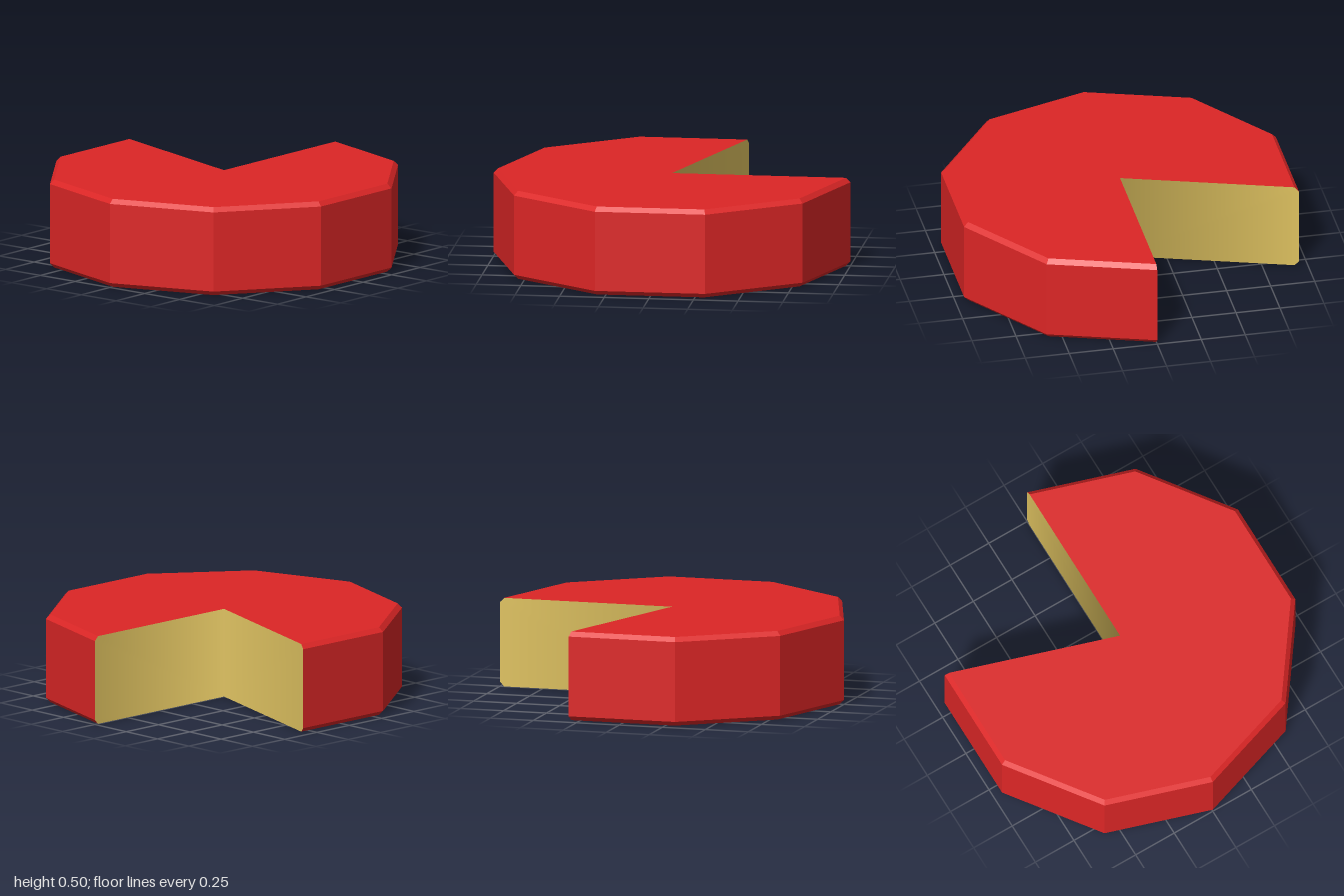
import * as THREE from 'three';

const rad = THREE.MathUtils.degToRad;

// half cross-section of the wheel, bottom axis to top axis, with small bevels
const profile = [[0, 0], [0.975, 0], [1, 0.025], [1, 0.475], [0.975, 0.5], [0, 0.5]];
const cutStart = 90, cutEnd = 162; // open wedge, degrees from +z towards +x

// ten-sided rind with two sides missing, faceted normals
function rindGeometry() {
  const points = profile.map(([r, y]) => new THREE.Vector2(r, y));
  const lathe = new THREE.LatheGeometry(points, 8, rad(cutEnd - 360), rad(360 - cutEnd + cutStart));
  const geometry = lathe.toNonIndexed();
  geometry.computeVertexNormals();
  return geometry;
}

// both cut walls, sharing the axis edge so shading runs smoothly across it
function cutGeometry() {
  const outer = profile.slice(1, -1);
  const positions = [0, 0, 0, 0, 0.5, 0];
  const index = [];
  [cutStart, cutEnd].forEach((angle, side) => {
    const first = positions.length / 3;
    for (const [r, y] of outer) {
      positions.push(r * Math.sin(rad(angle)), y, r * Math.cos(rad(angle)));
    }
    const rim = [...outer.map((_, i) => first + i), 1];
    for (let i = 0; i < rim.length - 1; i++) {
      if (side === 0) index.push(0, rim[i + 1], rim[i]);
      else index.push(0, rim[i], rim[i + 1]);
    }
  });
  const geometry = new THREE.BufferGeometry();
  geometry.setAttribute('position', new THREE.Float32BufferAttribute(positions, 3));
  geometry.setIndex(index);
  geometry.computeVertexNormals();
  return geometry;
}

export function createModel() {
  const red = new THREE.MeshStandardMaterial({ color: 0xdd2626 });
  red.name = 'rind red';
  const yellow = new THREE.MeshStandardMaterial({ color: 0xe0c360 });
  yellow.name = 'cheese yellow';

  const group = new THREE.Group();
  group.name = 'cheeseWheel';

  const rind = new THREE.Mesh(rindGeometry(), red);
  rind.name = 'rind';
  const cut = new THREE.Mesh(cutGeometry(), yellow);
  cut.name = 'cutFaces';

  group.add(rind, cut);
  return group;
}
